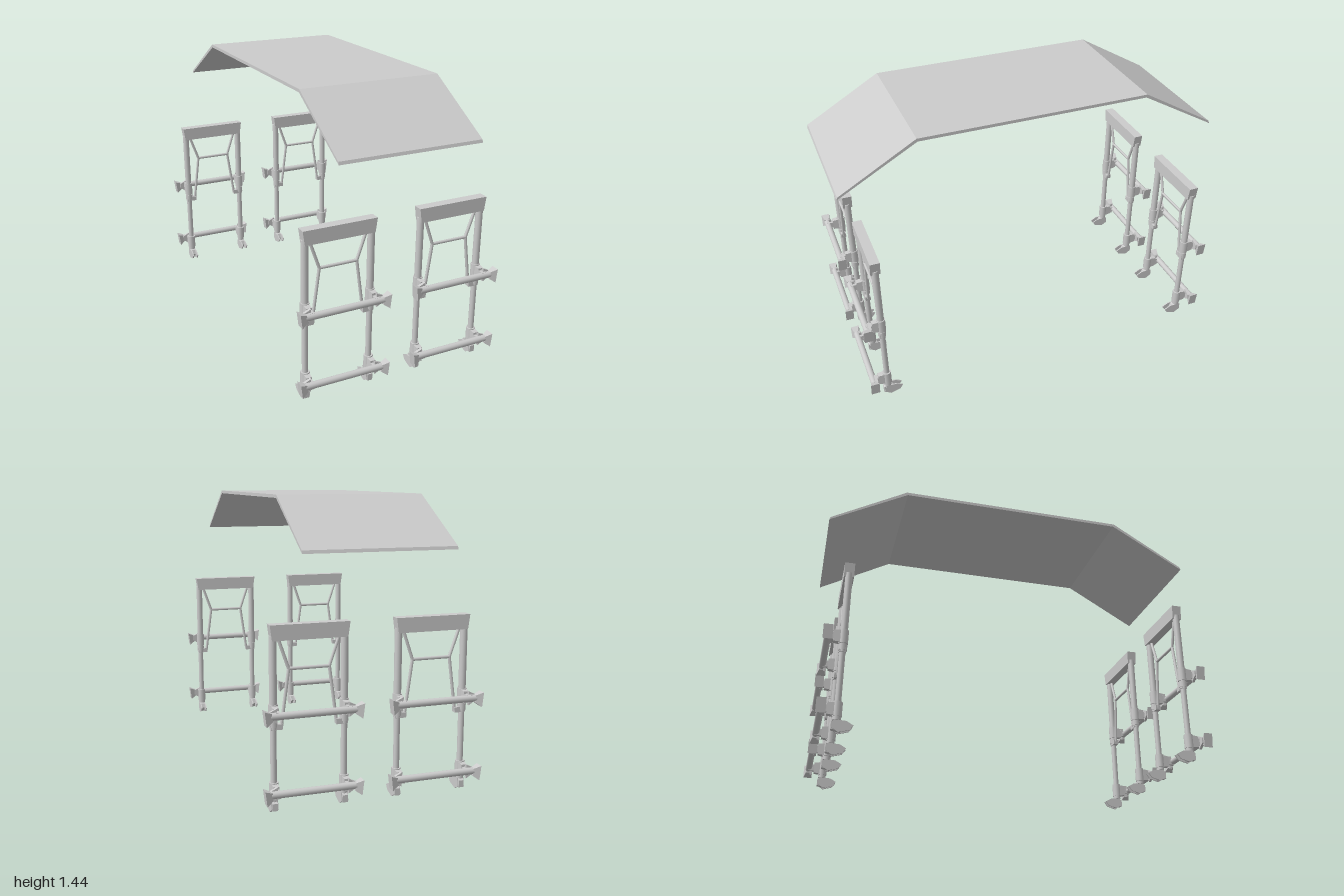
import * as THREE from 'three';

const material = new THREE.MeshStandardMaterial({ color: 0xcccccc });

function add(parent, name, geometry, x = 0, y = 0, z = 0) {
  const mesh = new THREE.Mesh(geometry, material);
  mesh.name = name;
  mesh.position.set(x, y, z);
  parent.add(mesh);
  return mesh;
}

// Round bar between two points
function bar(parent, name, a, b, radius, sides = 12) {
  const p = new THREE.Vector3(...a), q = new THREE.Vector3(...b);
  const mesh = add(parent, name, new THREE.CylinderGeometry(radius, radius, p.distanceTo(q), sides));
  mesh.position.copy(p).lerp(q, 0.5);
  mesh.quaternion.setFromUnitVectors(new THREE.Vector3(0, 1, 0), q.sub(p).normalize());
  return mesh;
}

// Box whose cross-section is scaled at the + end of one axis
function taperedBox(w, h, d, axis, scale) {
  const geometry = new THREE.BoxGeometry(w, h, d);
  const pos = geometry.attributes.position;
  for (let i = 0; i < pos.count; i++) {
    if (pos.getComponent(i, axis) <= 0) continue;
    for (let k = 0; k < 3; k++) {
      if (k !== axis) pos.setComponent(i, k, pos.getComponent(i, k) * scale[k]);
    }
  }
  geometry.computeVertexNormals();
  return geometry;
}

// Profile of [z, y] points extruded along x, centred on x = 0
function sideProfile(points, width) {
  const shape = new THREE.Shape(points.map(([z, y]) => new THREE.Vector2(-z, y)));
  const geometry = new THREE.ExtrudeGeometry(shape, { depth: width, bevelEnabled: false });
  return geometry.translate(0, 0, -width / 2).rotateY(Math.PI / 2);
}

// Clamp holding a crossbar in front of a post, with a flared end outside it
function makeClamp(side) {
  const clamp = new THREE.Group();
  clamp.name = 'clamp';
  add(clamp, 'clampCollar', new THREE.CylinderGeometry(0.023, 0.023, 0.072, 12));
  add(clamp, 'clampBlock', taperedBox(0.034, 0.07, 0.06, 2, [0.8, 0.8, 1]), 0, 0, 0.018);
  add(clamp, 'clampArm', new THREE.BoxGeometry(0.026, 0.034, 0.04), 0, 0, 0.06);
  // Triangular web reaching toward the flared end
  const web = new THREE.Shape([[0, -0.036], [0.038, -0.012], [0.038, 0.016], [0, 0.034]]
    .map(([x, y]) => new THREE.Vector2(x, y)));
  const webGeometry = new THREE.ExtrudeGeometry(web, { depth: 0.014, bevelEnabled: false });
  add(clamp, 'clampWeb', webGeometry, 0, 0, 0.055);
  const flare = add(clamp, 'clampFlare', taperedBox(0.034, 0.036, 0.024, 0, [1, 2, 1.9]), 0.044, -0.003, 0.077);
  flare.rotation.z = -0.12;
  clamp.rotation.y = 0;
  if (side < 0) {
    clamp.scale.x = -1;
  }
  return clamp;
}

// Foot with a toe pointing inward between two thin cheeks
function makeFoot() {
  const foot = new THREE.Group();
  foot.name = 'foot';
  add(foot, 'footCollar', new THREE.CylinderGeometry(0.02, 0.02, 0.04, 12), 0, 0.08, 0);
  add(foot, 'footBody', sideProfile(
    [[0.024, 0.015], [0.024, 0.05], [0, 0.065], [-0.025, 0.055], [-0.035, 0.03], [-0.02, 0.005]], 0.026));
  for (const side of [-1, 1]) {
    add(foot, 'footCheek', sideProfile(
      [[0.02, 0.02], [0.012, 0.06], [-0.045, 0.056], [-0.077, 0.038], [-0.06, 0.014], [-0.01, 0]], 0.006),
      side * 0.014);
  }
  return foot;
}

// One standing frame, its outer face toward +z
function makeFrame() {
  const frame = new THREE.Group();
  frame.name = 'standingFrame';
  add(frame, 'topPlate', taperedBox(0.36, 0.072, 0.05, 1, [1.055, 1, 1]), 0, 0.845, 0);

  for (const side of [-1, 1]) {
    const x = side * 0.171;
    bar(frame, 'upperPost', [x, 0.4, 0], [x, 0.83, 0], 0.018, 16);
    bar(frame, 'lowerPost', [x, 0.05, 0], [x, 0.46, 0], 0.015, 16);
    add(frame, 'postCollar', new THREE.CylinderGeometry(0.021, 0.021, 0.03, 12), x, 0.425, 0);
    add(frame, 'braceMount', taperedBox(0.055, 0.026, 0.028, 1, [1.1, 1, 1]), side * 0.157, 0.41, 0);

    const foot = makeFoot();
    foot.position.x = x;
    frame.add(foot);
    for (const y of [0.48, 0.112]) {
      const clamp = makeClamp(side);
      clamp.position.set(x, y, 0);
      frame.add(clamp);
    }
    // Bent side brace
    bar(frame, 'upperBrace', [side * 0.147, 0.82, 0], [side * 0.097, 0.675, 0], 0.008, 8);
    bar(frame, 'lowerBrace', [side * 0.097, 0.675, 0], [side * 0.133, 0.41, 0], 0.008, 8);
  }
  bar(frame, 'middleBrace', [-0.1, 0.675, 0], [0.1, 0.675, 0], 0.008, 8);
  for (const y of [0.48, 0.115]) {
    bar(frame, 'crossbar', [-0.205, y, 0.075], [0.205, y, 0.075], 0.017, 16);
  }
  return frame;
}

export function createModel() {
  const model = new THREE.Group();
  model.name = 'canopyWithFrames';

  // Bent canopy sheet
  add(model, 'canopy', sideProfile([
    [1, 1.2], [0.995, 1.215], [0.602, 1.443], [-0.602, 1.443],
    [-0.995, 1.215], [-1, 1.2], [-0.598, 1.427], [0.598, 1.427],
  ], 0.745), 0.003);

  // Four frames, outer faces pointing away from the middle
  for (const x of [-0.305, 0.305]) {
    for (const end of [-1, 1]) {
      const frame = makeFrame();
      frame.position.set(x, 0, end * 0.88);
      if (end < 0) frame.rotation.y = Math.PI;
      model.add(frame);
    }
  }
  return model;
}
